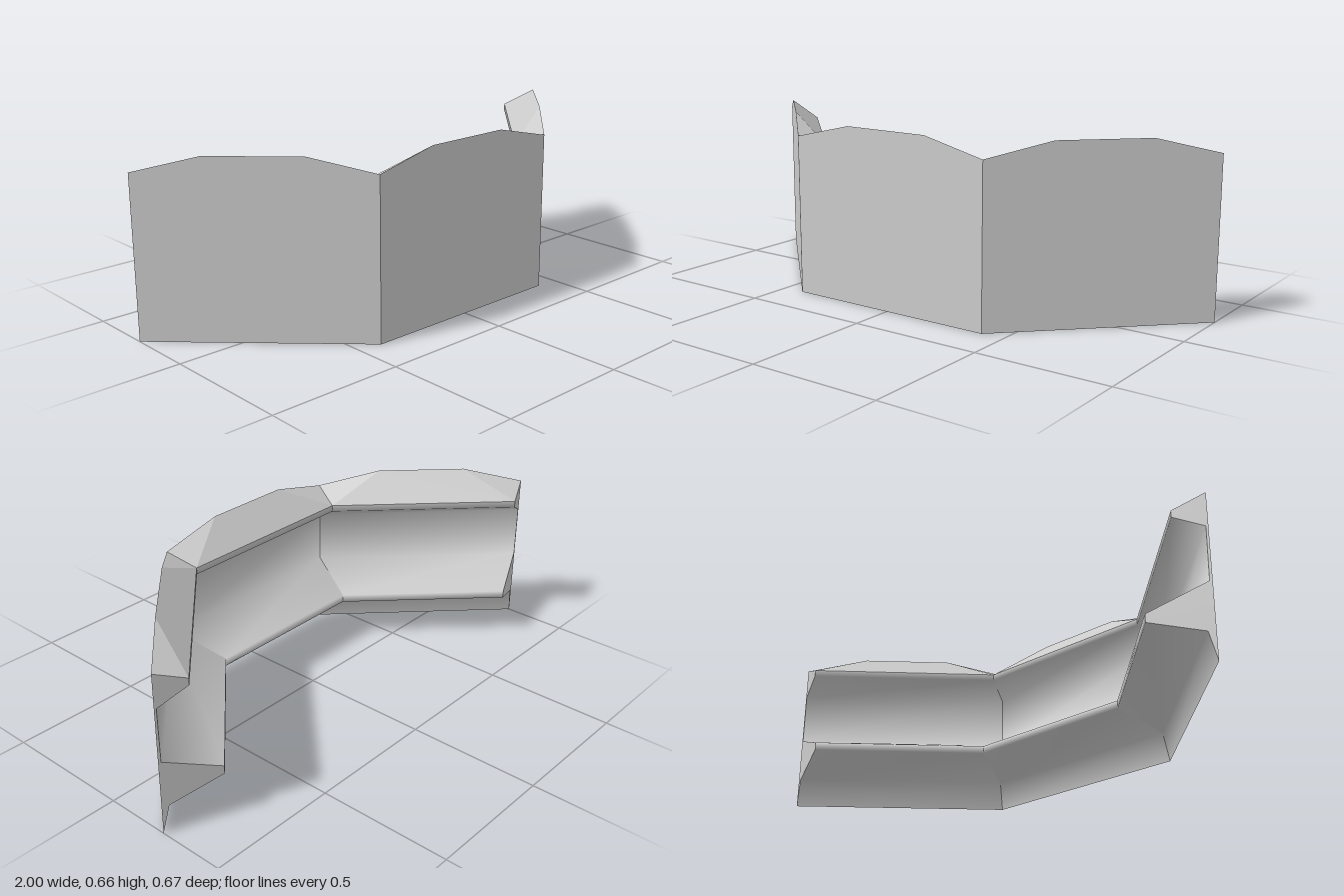
import * as THREE from 'three';

// Plan of the wall, from -x to +x: [outer x, outer z, inner x, inner z]
const stations = [
  [-1, -0.25, -0.8, -0.334],
  [-0.413, 0.334, -0.334, 0.134],
  [0.413, 0.334, 0.334, 0.134],
  [1, -0.25, 0.8, -0.334],
];

// Inner profile from the ground up to the rail: [depth 0..1, height]
const profile = [
  [0, 0], [0.12, 0.105], [1, 0.167], [1, 0.197],
  [0.045, 0.277], [0.036, 0.475], [0.535, 0.53], [0.535, 0.555],
];
const SHOULDER = 0.6, CREST = 0.658;

const at = ([ox, oz, ix, iz], t, y) =>
  new THREE.Vector3(ox + (ix - ox) * t, y, oz + (iz - oz) * t);

function makeMesh(name, points, index, flat) {
  let geometry = new THREE.BufferGeometry().setFromPoints(points);
  geometry.setIndex(index);
  if (flat) geometry = geometry.toNonIndexed();
  geometry.computeVertexNormals();
  const mesh = new THREE.Mesh(geometry,
    new THREE.MeshStandardMaterial({ color: 0xcccccc, flatShading: flat }));
  mesh.name = name;
  return mesh;
}

function makeSegment(a, b, name) {
  const segment = new THREE.Group();
  segment.name = name;

  // Inner side: smooth profile with the lower ledge and upper rail
  const points = [], index = [];
  profile.forEach(([t, y], i) => {
    points.push(at(a, t, y), at(b, t, y));
    if (i) {
      const k = 2 * i;
      index.push(k - 2, k, k - 1, k - 1, k, k + 1);
    }
  });
  segment.add(makeMesh('innerProfile', points, index, false));

  // Flat outer panel with a chamfered crest
  const crest = (f) => at(a, 0, CREST).lerp(at(b, 0, CREST), f);
  const top = [at(a, 0, SHOULDER), crest(0.293), crest(0.707), at(b, 0, SHOULDER)];
  segment.add(makeMesh('outerPanel', [at(a, 0, 0), at(b, 0, 0), ...top],
    [0, 1, 5, 0, 5, 4, 0, 4, 3, 0, 3, 2], true));

  // Sloping top from the crest down to the straight rail
  const [railDepth, railHeight] = profile[profile.length - 1];
  segment.add(makeMesh('slopingTop',
    [...top, at(a, railDepth, railHeight), at(b, railDepth, railHeight)],
    [4, 0, 1, 4, 1, 2, 4, 2, 5, 5, 2, 3], true));
  return segment;
}

// End face closing the profile against the outer edge
function makeEnd(station, flip, name) {
  const points = [], index = [];
  [...profile, [0, SHOULDER]].forEach(([t, y], i) => {
    points.push(at(station, 0, y), at(station, t, y));
    if (i) {
      const k = 2 * i;
      index.push(k - 2, k, k - 1, k - 1, k, k + 1);
    }
  });
  if (flip) index.reverse();
  return makeMesh(name, points, index, true);
}

export function createModel() {
  const model = new THREE.Group();
  model.name = 'angledBarrier';
  ['rightWall', 'centreWall', 'leftWall'].forEach((name, i) =>
    model.add(makeSegment(stations[i], stations[i + 1], name)));
  model.add(makeEnd(stations[0], false, 'rightEnd'));
  model.add(makeEnd(stations[3], true, 'leftEnd'));
  return model;
}
